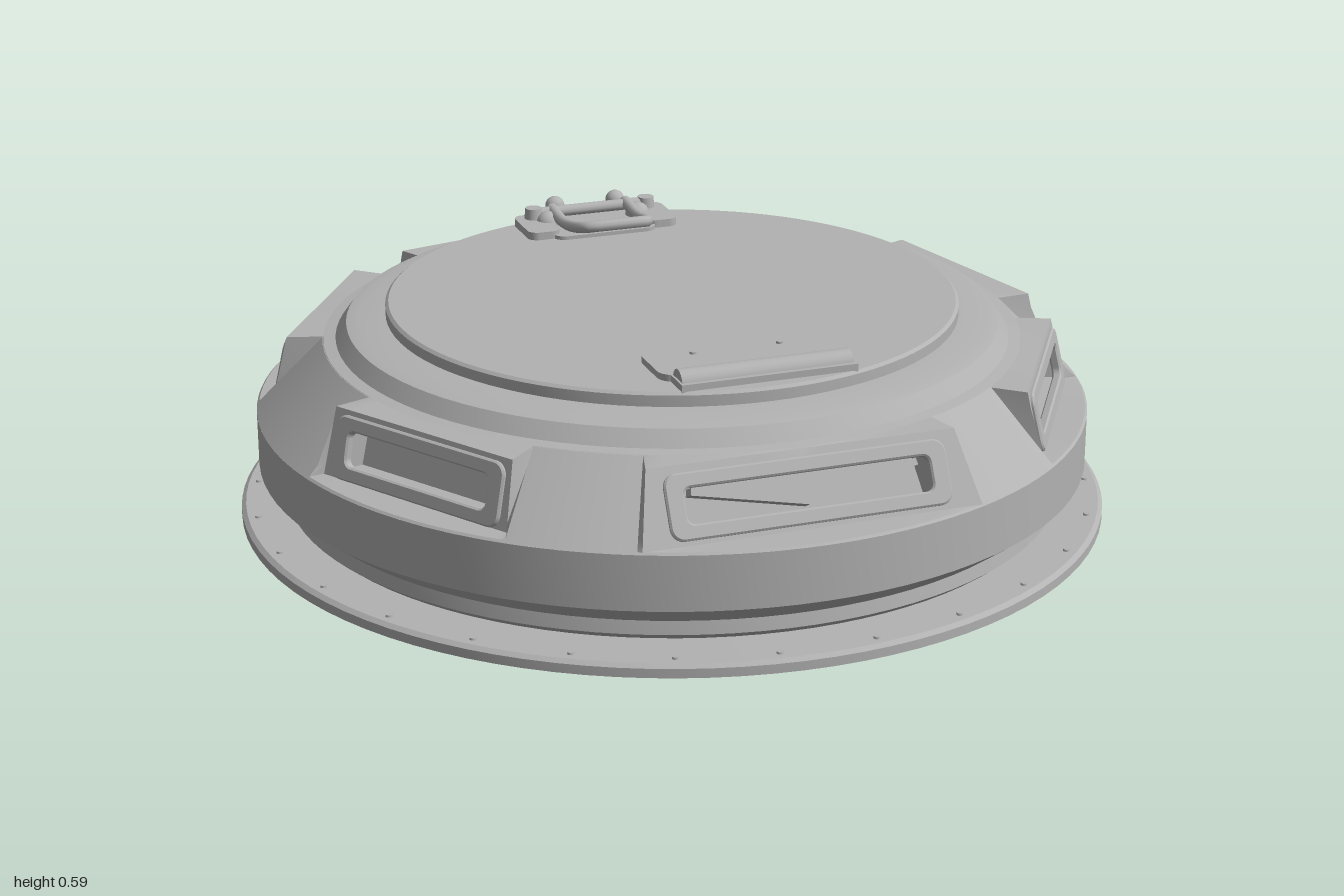
import * as THREE from 'three';
import { toCreasedNormals } from 'three/addons/utils/BufferGeometryUtils.js';

const RAD = Math.PI / 180;

// Vision ports: heading, outer and opening half widths, face distance at bottom and top
const side = { out: 0.255, open: 0.21, d0: 0.88, d1: 0.845 };
const ports = [
  { deg: 0, out: 0.37, open: 0.285, d0: 0.88, d1: 0.80 },
  ...[58, 103, 150, 193, 238, 302].map(deg => ({ deg, ...side })),
];
const Y0 = 0.287, Y1 = 0.435, EPS = 0.004;

function createModel() {
  const steel = new THREE.MeshStandardMaterial({ color: 0xb2b2b2 });
  steel.name = 'steel grey';
  const root = new THREE.Group();
  root.name = 'cupola';

  const add = (name, geo, parent = root, pos = [0, 0, 0], rot = [0, 0, 0]) => {
    const m = new THREE.Mesh(geo, steel);
    m.name = name;
    m.position.set(...pos);
    m.rotation.set(...rot);
    parent.add(m);
    return m;
  };
  const lathe = (name, pts) => add(name, toCreasedNormals(
    new THREE.LatheGeometry(pts.map(p => new THREE.Vector2(...p)), 96), 0.5));

  // Turned parts
  lathe('bottomDisc', [[0, 0], [0.57, 0], [0.58, 0.008], [0.58, 0.022]]);
  lathe('flange', [[0, 0.02], [0.985, 0.02], [1, 0.027], [1, 0.048], [0.99, 0.056], [0.86, 0.058]]);
  lathe('lowerRing', [[0.87, 0.055], [0.895, 0.075], [0.89, 0.105], [0.955, 0.155], [0.955, 0.28]]);
  lathe('shoulder', [[0.80, 0.436], [0.77, 0.44], [0.745, 0.475], [0.72, 0.48], [0.64, 0.483]]);
  lathe('hatchLid', [[0.64, 0.47], [0.64, 0.487], [0.655, 0.49], [0.655, 0.514], [0.648, 0.52], [0, 0.52]]);

  add('slopedWall', slopedWall());

  // Port frames
  for (const p of ports) {
    const g = new THREE.Group();
    g.name = 'visionPort';
    g.rotation.y = p.deg * RAD;
    root.add(g);
    const tilt = Math.atan((p.d0 - p.d1) / (Y1 - Y0));
    const y = 0.3535, d = p.d0 + (p.d1 - p.d0) * (y - Y0) / (Y1 - Y0);
    const frame = roundedRect(p.open * 2 + 0.05, 0.133, 0.025);
    frame.holes.push(roundedRect(p.open * 2 - 0.015, 0.084, 0.02));
    add('portFrame', new THREE.ExtrudeGeometry(frame, {
      depth: 0.014, bevelEnabled: true, bevelSize: 0.004, bevelThickness: 0.004, bevelSegments: 1, curveSegments: 5,
    }), g, [0, y, d - 0.01], [-tilt, 0, 0]);
    // Angled brow inside the wide front port
    if (p.deg === 0) for (const s of [-1, 1])
      add('innerBrow', new THREE.BoxGeometry(0.26, 0.016, 0.05), g, [s * 0.125, 0.345, d - 0.035], [-tilt, 0, s * 0.2]);
  }

  // Small pads between the rear ports
  for (const deg of [126, 172, 215]) {
    const g = new THREE.Group();
    g.name = 'wallPad';
    g.rotation.y = deg * RAD;
    root.add(g);
    add('pad', new THREE.BoxGeometry(0.11, 0.09, 0.025), g, [0, 0.375, 0.86], [-Math.PI / 4, 0, 0]);
  }

  // Flange rivets
  for (let i = 0; i < 28; i++) {
    const a = (i + 0.5) / 28 * Math.PI * 2;
    add('rivet', new THREE.CylinderGeometry(0.007, 0.008, 0.006, 8), root,
      [0.967 * Math.sin(a), 0.058, 0.967 * Math.cos(a)]);
  }

  // Hinge at the front of the lid
  const plate = (name, w, h, r, t, x, z) => add(name, new THREE.ExtrudeGeometry(roundedRect(w, h, r),
    { depth: t, bevelEnabled: false, curveSegments: 6 }), root, [x, 0.517, z], [-Math.PI / 2, 0, 0]);
  plate('hingePlate', 0.44, 0.17, 0.04, 0.018, 0, 0.472);
  add('hingeBarrel', new THREE.CylinderGeometry(0.03, 0.03, 0.39, 20), root, [0, 0.527, 0.58], [0, 0, Math.PI / 2]);
  add('hingeFoot', new THREE.BoxGeometry(0.4, 0.02, 0.07), root, [0, 0.525, 0.585]);
  for (const x of [-0.11, 0.09])
    add('hingeBolt', new THREE.CylinderGeometry(0.008, 0.008, 0.006, 8), root, [x, 0.537, 0.44]);

  // Grab handle at the rear of the lid
  plate('handlePlate', 0.26, 0.16, 0.03, 0.012, 0, -0.54);
  const loop = [[-0.095, 0.555, -0.61], [-0.093, 0.548, -0.5], [-0.078, 0.568, -0.395], [-0.06, 0.572, -0.383],
    [0.06, 0.572, -0.383], [0.078, 0.568, -0.395], [0.093, 0.548, -0.5], [0.095, 0.555, -0.61]];
  const path = new THREE.CatmullRomCurve3(loop.map(p => new THREE.Vector3(...p)), false, 'centripetal');
  add('handleLoop', new THREE.TubeGeometry(path, 60, 0.014, 10));
  add('handleRod', new THREE.CylinderGeometry(0.014, 0.014, 0.3, 12), root, [0, 0.55, -0.6], [0, 0, Math.PI / 2]);
  for (const s of [-1, 1]) {
    plate('handleEar', 0.08, 0.15, 0.025, 0.022, s * 0.15, -0.555);
    add('earBoss', new THREE.SphereGeometry(0.03, 14, 10), root, [s * 0.115, 0.53, -0.575]);
    add('handleLug', new THREE.CylinderGeometry(0.02, 0.024, 0.05, 14), root, [s * 0.145, 0.54, -0.6]);
    add('handleKnob', new THREE.SphereGeometry(0.024, 14, 10), root, [s * 0.078, 0.553, -0.637]);
  }
  return root;
}

// Conical wall with flat port faces and recessed openings, as rings of varying radius
function slopedWall() {
  const rows = [0.28, 0.285, Y0, 0.305, 0.307, 0.4, 0.402, Y1, 0.437];
  const angles = [];
  for (const p of ports) {
    p.a = p.deg * RAD;
    p.aOut = Math.atan(p.out / 0.86);
    p.aIn = Math.atan(p.open / 0.86);
    for (const s of [-1, 1])
      for (const t of [p.aOut + EPS * 3, p.aOut, p.aIn, p.aIn - EPS]) angles.push(p.a + s * t);
  }
  const gap = (a, p) => Math.atan2(Math.sin(a - p.a), Math.cos(a - p.a));
  for (let d = 0; d < 360; d += 3) angles.push(d * RAD);
  const turn = Math.PI * 2;
  const list = angles.map(a => (a + turn) % turn).sort((a, b) => a - b)
    .filter((a, i, all) => i === 0 || a - all[i - 1] > 1e-5);

  const radius = (a, y) => {
    for (const p of ports) {
      const t = gap(a, p);
      if (Math.abs(t) > p.aOut + 1e-4 || y < Y0 || y > Y1) continue;
      let d = p.d0 + (p.d1 - p.d0) * (y - Y0) / (Y1 - Y0);
      if (Math.abs(t) < p.aIn - EPS + 1e-4 && y > 0.306 && y < 0.401) d -= 0.05;
      return d / Math.cos(t);
    }
    return 0.955 - (y - 0.28);
  };

  const pos = [], index = [], n = rows.length;
  for (const a of list) for (const y of rows) {
    const r = radius(a, y);
    pos.push(r * Math.sin(a), y, r * Math.cos(a));
  }
  list.forEach((_, i) => {
    const k = (i + 1) % list.length;
    for (let j = 0; j < n - 1; j++) {
      const A = i * n + j, B = k * n + j;
      index.push(A, B, B + 1, A, B + 1, A + 1);
    }
  });
  const geo = new THREE.BufferGeometry();
  geo.setAttribute('position', new THREE.Float32BufferAttribute(pos, 3));
  geo.setIndex(index);
  return toCreasedNormals(geo, 0.35);
}

// Centred rectangle with rounded corners
function roundedRect(w, h, r) {
  const s = new THREE.Shape(), x = w / 2 - r, y = h / 2 - r;
  s.absarc(x, y, r, 0, Math.PI / 2);
  s.absarc(-x, y, r, Math.PI / 2, Math.PI);
  s.absarc(-x, -y, r, Math.PI, Math.PI * 1.5);
  s.absarc(x, -y, r, Math.PI * 1.5, Math.PI * 2);
  s.closePath();
  return s;
}

export { createModel };
